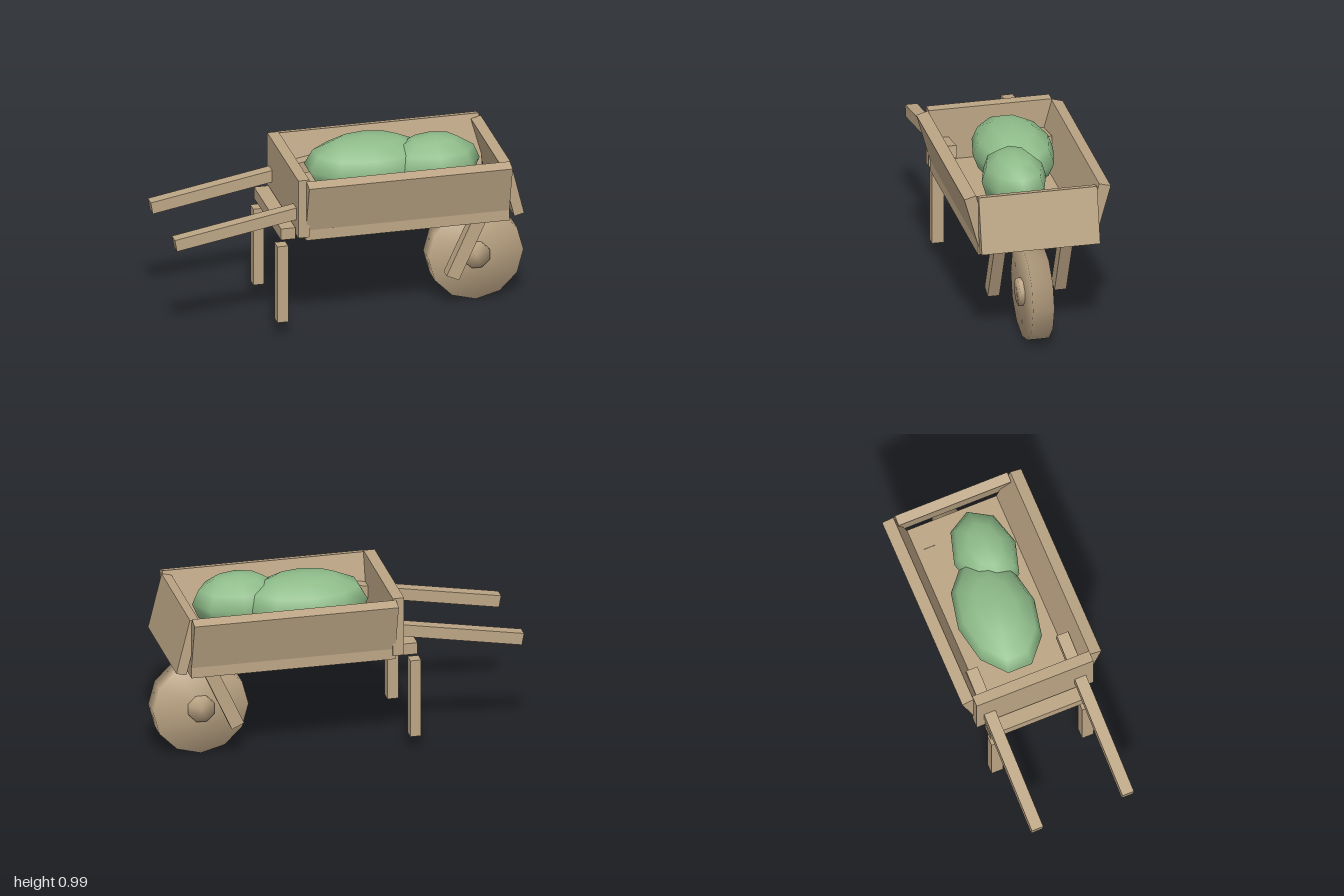
import * as THREE from 'three';
import { mergeVertices } from 'three/addons/utils/BufferGeometryUtils.js';

export function createModel() {
  const model = new THREE.Group();
  const wood = new THREE.MeshStandardMaterial({ color: 0xbca585 });
  wood.name = 'wood';
  const green = new THREE.MeshStandardMaterial({ color: 0x8fbc8a });
  green.name = 'melon green';

  function add(name, geometry, material, x, y, z) {
    const mesh = new THREE.Mesh(geometry, material);
    mesh.name = name;
    mesh.position.set(x, y, z);
    model.add(mesh);
    return mesh;
  }
  const plank = (name, w, h, d, x, y, z) =>
    add(name, new THREE.BoxGeometry(w, h, d), wood, x, y, z);

  // Disc on the z axis with normals blended across rim and faces
  function softDisc(radius, width, sides, turn) {
    let g = new THREE.CylinderGeometry(radius, radius, width, sides);
    g.rotateX(Math.PI / 2).rotateZ(turn);
    g.deleteAttribute('normal');
    g.deleteAttribute('uv');
    g = mergeVertices(g, 1e-4);
    g.computeVertexNormals();
    return g;
  }

  // Tray: floor, upright rear board, slanted front board
  plank('trayFloor', 1.13, 0.06, 0.66, 0.285, 0.592, 0);
  plank('rearBoard', 0.062, 0.335, 0.68, -0.294, 0.753, 0);
  plank('frontBoard', 0.057, 0.315, 0.655, 0.868, 0.742, 0).rotation.z = 0.241;

  // Cross beam under the handles
  plank('crossBeam', 0.08, 0.065, 0.59, -0.37, 0.597, 0);

  // Mirrored pairs
  for (const [side, s] of [['left', 1], ['right', -1]]) {
    // Flared side board
    plank(side + 'SideBoard', 1.13, 0.33, 0.067, 0.285, 0.744, s * 0.329).rotation.x = s * 0.27;
    plank(side + 'Handle', 0.942, 0.067, 0.066, -0.53, 0.674, s * 0.264).rotation.z = 0.175;
    plank(side + 'Leg', 0.06, 0.445, 0.066, -0.4, 0.305, s * 0.264);
    plank(side + 'Fork', 0.075, 0.442, 0.065, 0.6565, 0.407, s * 0.185).rotation.z = -0.429;
  }

  // Wheel and hub
  add('wheel', softDisc(0.264, 0.118, 12, 0), wood, 0.733, 0.264, 0);
  add('wheelHub', softDisc(0.076, 0.17, 8, Math.PI / 8), wood, 0.733, 0.264, 0);

  // Two melons lying in the tray
  const melon = (name, sides, x, y, z, rx, ry, rz) =>
    add(name, new THREE.SphereGeometry(1, sides, 6).rotateY(Math.PI / 2), green, x, y, z)
      .scale.set(rx, ry, rz);
  melon('largeMelon', 10, 0.152, 0.827, -0.028, 0.352, 0.16, 0.222);
  melon('smallMelon', 8, 0.5, 0.827, 0.049, 0.256, 0.16, 0.178);

  return model;
}
